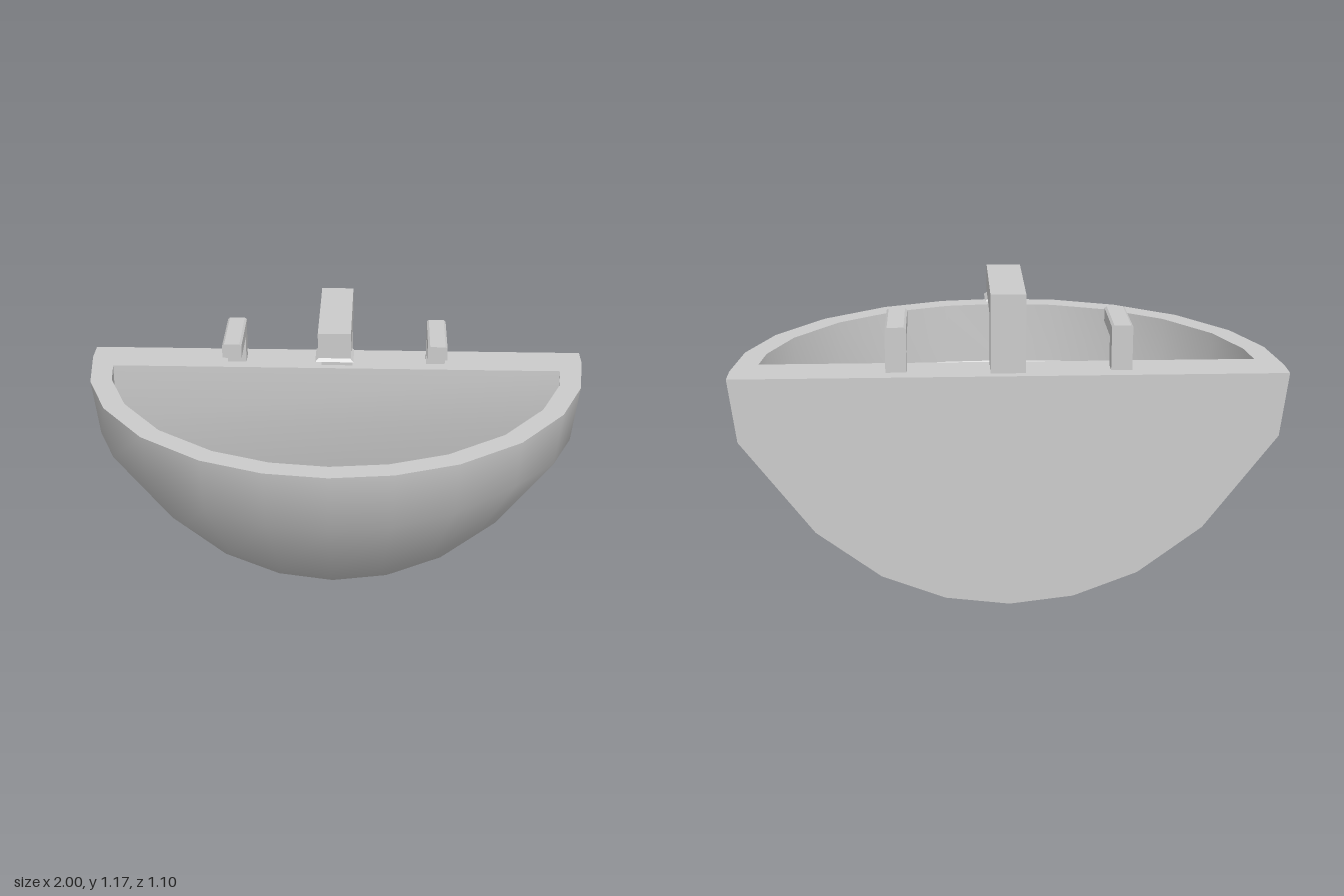
import * as THREE from 'three';
import { mergeVertices } from 'three/addons/utils/BufferGeometryUtils.js';

const RIM = 0.885, BACK = -0.55, INNER_BACK = -0.37, CENTRE = -0.45;
const DEPTH = 1.014, FLOOR = 0.295;

const mat = new THREE.MeshStandardMaterial({ color: 0xcccccc });
const flatMat = new THREE.MeshStandardMaterial({ color: 0xcccccc, flatShading: true });

// Point of a cube (u, w down, v) rounded onto the unit ball: [x, depth, z]
function ball(u, w, v) {
  const f = (a, b, c) => a * Math.sqrt(1 - b * b / 2 - c * c / 2 + b * b * c * c / 3);
  return [f(u, w, v), f(w, u, v), f(v, u, w)];
}

// Mirrors a half list [x, v] running from x > 0 to x = 0 into a full list from -x to +x
const mirror = (half) => [
  ...half.map(([x, v]) => [-x, v]),
  ...half.slice(0, -1).reverse(),
];

// Smooth skin welded from patches; each patch is a list of equal rows of points
function skin(patches, inward) {
  const position = [], index = [];
  for (const rows of patches) {
    const n = rows[0].length, start = position.length / 3;
    position.push(...rows.flat(2));
    for (let i = 0; i < rows.length - 1; i++) {
      for (let j = 0; j < n - 1; j++) {
        const a = start + i * n + j, b = a + 1, c = a + n, d = c + 1;
        if (inward) index.push(a, b, c, b, d, c);
        else index.push(a, c, b, b, c, d);
      }
    }
  }
  let g = new THREE.BufferGeometry();
  g.setAttribute('position', new THREE.Float32BufferAttribute(position, 3));
  g.setIndex(index);
  g = mergeVertices(g);
  g.computeVertexNormals();
  return g;
}

const shapeOf = (pts) => new THREE.Shape(pts.map(([x, y]) => new THREE.Vector2(x, y)));

// Horizontal face, looking up, from [x, z] points
function level(outline, y, hole) {
  const flip = (pts) => pts.map(([x, z]) => [x, -z]);
  const s = shapeOf(flip(outline));
  if (hole) s.holes.push(shapeOf(flip(hole)));
  return new THREE.ShapeGeometry(s).rotateX(-Math.PI / 2).translate(0, y, 0);
}

// Side profile in [z, y], extruded across x
function sideExtrude(pts, width) {
  return new THREE.ExtrudeGeometry(shapeOf(pts), { depth: width, bevelEnabled: false })
    .rotateY(-Math.PI / 2).translate(width / 2, 0, 0);
}

export function createModel() {
  const group = new THREE.Group();
  const add = (name, geometry, parent = group, material = mat) => {
    const m = new THREE.Mesh(geometry, material);
    m.name = name;
    parent.add(m);
    return m;
  };

  // Columns round the half-ball, from -x round the front to +x
  const steps = [-1, -2 / 3, -1 / 3, 0, 1 / 3, 2 / 3, 1];
  const columns = mirror([[1, 0], [1, 1 / 3], [1, 2 / 3], [1, 1], [2 / 3, 1], [1 / 3, 1], [0, 1]]);

  // Outer side rows, each run straight back to the wall
  const toWall = ([x, y]) => [x, y, BACK];
  const sideRow = (w, height) => {
    const row = columns.map(([u, v]) => {
      const [x, h, z] = ball(u, w, v);
      return [x, height(h), CENTRE + z];
    });
    return [toWall(row[0]), ...row, toWall(row[row.length - 1])];
  };
  const under = (h) => DEPTH * (1 - h);
  const rimRow = sideRow(0, () => RIM);
  const ringRow = sideRow(1 / 3, (h) => 0.888 - DEPTH * h);
  const lowRow = sideRow(1, under);

  // Underside patch, front to back
  const underside = [1, 2 / 3, 1 / 3, 0].map((v) => steps.map((u) => {
    const [x, h, z] = ball(u, 1, v);
    return [x, under(h), CENTRE + z];
  }));
  const backEdge = underside[3].map(toWall);
  underside.push(backEdge);

  // Inner outline at the rim, foot of its wall, and the smaller flat floor
  const inner = columns.map(([u, v]) => {
    const [x, , z] = ball(u, 0, v);
    return v === 0 ? [x * 0.905, INNER_BACK] : [x * 0.915, CENTRE + z * 0.915];
  });
  const floor = inner.map(([x, z]) => [x * 0.655, -0.5 + (z - CENTRE) * 0.661]);
  const at = (outline, y) => outline.map(([x, z]) => [x, y, z]);
  const foot = inner.map(([x, z], i) => {
    const [u, v] = columns[i];
    return [x, RIM - 1.04 * ball(u, 1 / 3, v)[1], z];
  });

  // Basin
  const basin = new THREE.Group();
  basin.name = 'basin';
  group.add(basin);
  add('outerBowl', skin([[rimRow, ringRow, lowRow], underside], false), basin);
  add('rim', level(rimRow.map(([x, , z]) => [x, z]), RIM, inner), basin);
  const last = ringRow.length - 1;
  add('backPanel', new THREE.ShapeGeometry(shapeOf([
    rimRow[0], ringRow[0], ...backEdge, ringRow[last], rimRow[last],
  ])).rotateY(Math.PI).translate(0, 0, BACK), basin);
  add('innerWall', skin([[at(inner, RIM), foot]], true), basin);
  add('innerSlope', skin([[foot, at(floor, FLOOR)]], true), basin);
  add('basinFloor', level(floor, FLOOR), basin);

  // Inner back wall, upright and then leaning back towards the floor
  const ends = (row) => [row[0], row[row.length - 1]];
  add('innerBackWall', skin([[at(inner, RIM), foot, at(floor, FLOOR)].map(ends)], false), basin);

  // Spout with a flared square nozzle
  const tap = new THREE.Group();
  tap.name = 'tap';
  group.add(tap);
  add('spout', sideExtrude([
    [-0.514, RIM], [-0.4, RIM], [-0.4, 1.073], [-0.056, 1.073], [-0.056, 1.174], [-0.514, 1.174],
  ], 0.126).translate(0.004, 0, 0), tap);
  const nozzle = new THREE.CylinderGeometry(0.78 * Math.SQRT1_2, Math.SQRT1_2, 1, 4)
    .rotateY(Math.PI / 4).scale(0.146, 0.014, 0.122).translate(0.004, 1.067, -0.11);
  add('nozzle', nozzle, tap, flatMat);

  // Handles: a post with a lever whose top edges are finely chamfered
  const lever = shapeOf(mirror([
    [0.038, 0.994], [0.038, 1.044], [0.03, 1.051], [0, 1.051],
  ]).reverse());
  for (const side of [-1, 1]) {
    const handle = new THREE.Group();
    handle.name = side > 0 ? 'leftHandle' : 'rightHandle';
    handle.position.x = side * 0.404;
    tap.add(handle);
    add('lever', new THREE.ExtrudeGeometry(lever, { depth: 0.27, bevelEnabled: false })
      .translate(0, 0, -0.49), handle);
    add('handlePost', new THREE.BoxGeometry(0.076, 0.109, 0.067)
      .translate(0, RIM + 0.0545, -0.4565), handle);
  }
  return group;
}
